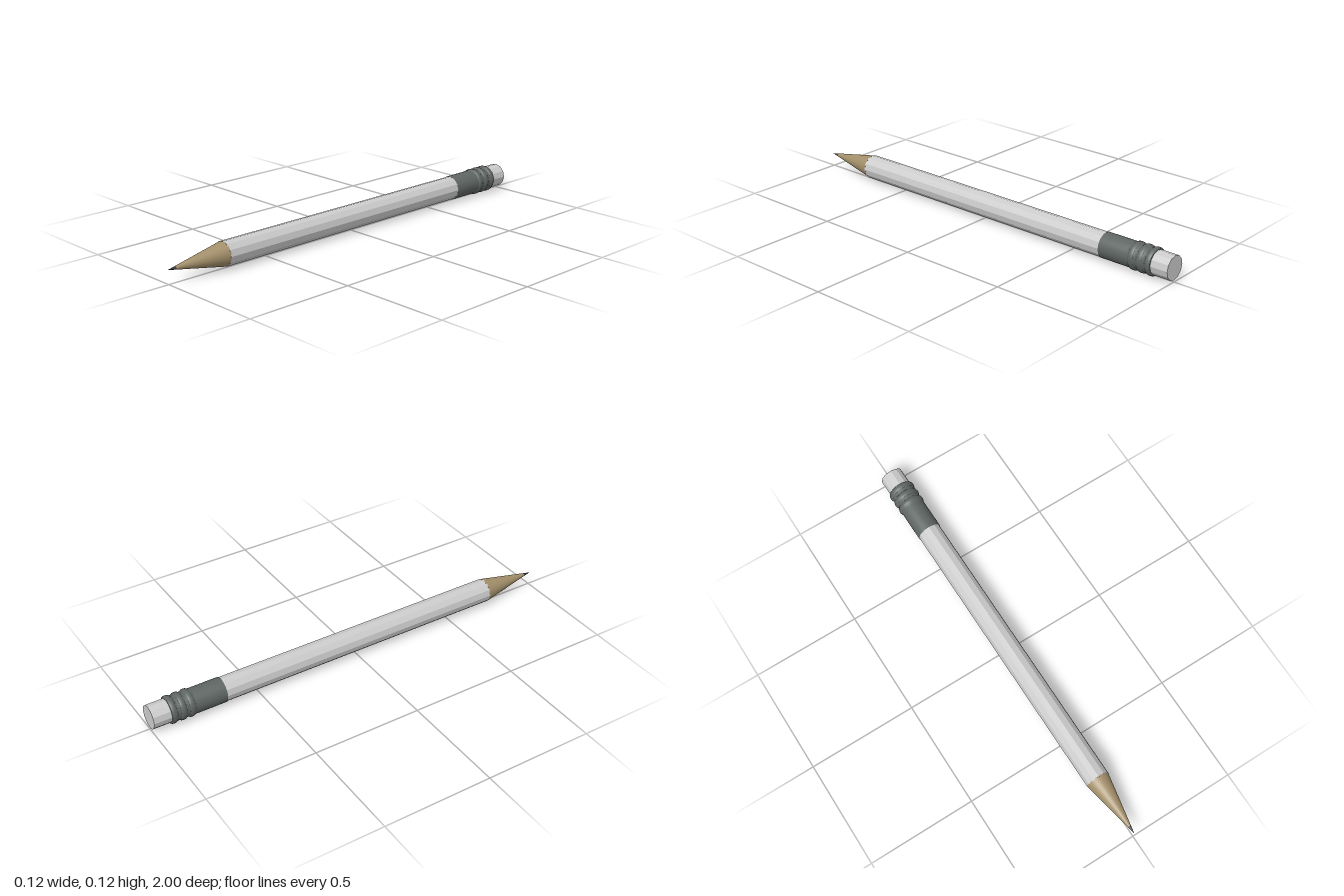
import * as THREE from 'three';

const AXIS_Y = 0.062;

export function createModel() {
  const group = new THREE.Group();
  group.name = 'pencil';

  const grey = new THREE.MeshStandardMaterial({ color: 0xcccccc, flatShading: true });
  const wood = new THREE.MeshStandardMaterial({ color: 0xa38f6a });
  const lead = new THREE.MeshStandardMaterial({ color: 0x3a3a3a });
  const metal = new THREE.MeshStandardMaterial({ color: 0x5f6664, side: THREE.DoubleSide });

  // Lay a part made around y along the z axis
  const add = (name, geometry, material, z = 0) => {
    geometry.rotateX(Math.PI / 2);
    const mesh = new THREE.Mesh(geometry, material);
    mesh.name = name;
    mesh.position.set(0, AXIS_Y, z);
    group.add(mesh);
  };
  // Cylinder or cone running from z0 (back) to z1 (front)
  const rod = (name, z0, z1, r0, r1, sides, material) =>
    add(name, new THREE.CylinderGeometry(r1, r0, z1 - z0, sides), material, (z0 + z1) / 2);

  // Twelve-sided barrel and eraser
  rod('barrel', -0.68, 0.725, 0.055, 0.055, 12, grey);
  rod('eraser', -1, -0.9, 0.054, 0.054, 12, grey);

  // Sharpened end
  rod('woodCone', 0.722, 0.965, 0.054, 0.0075, 32, wood);
  rod('leadTip', 0.965, 1, 0.0075, 0.0005, 32, lead);

  // Metal ferrule: plain sleeve with three rounded ridges at the back
  const r = 0.0565;
  const profile = [[0.04, -0.918]];
  for (const centre of [-0.905, -0.863, -0.822]) {
    for (let i = 0; i <= 8; i++) {
      const a = (i / 8) * Math.PI;
      profile.push([r + 0.0055 * Math.sin(a), centre - 0.013 * Math.cos(a)]);
    }
  }
  profile.push([r, -0.8], [r, -0.66], [0.05, -0.66]);
  add('ferrule', new THREE.LatheGeometry(profile.map(([x, z]) => new THREE.Vector2(x, z)), 32), metal);

  return group;
}
